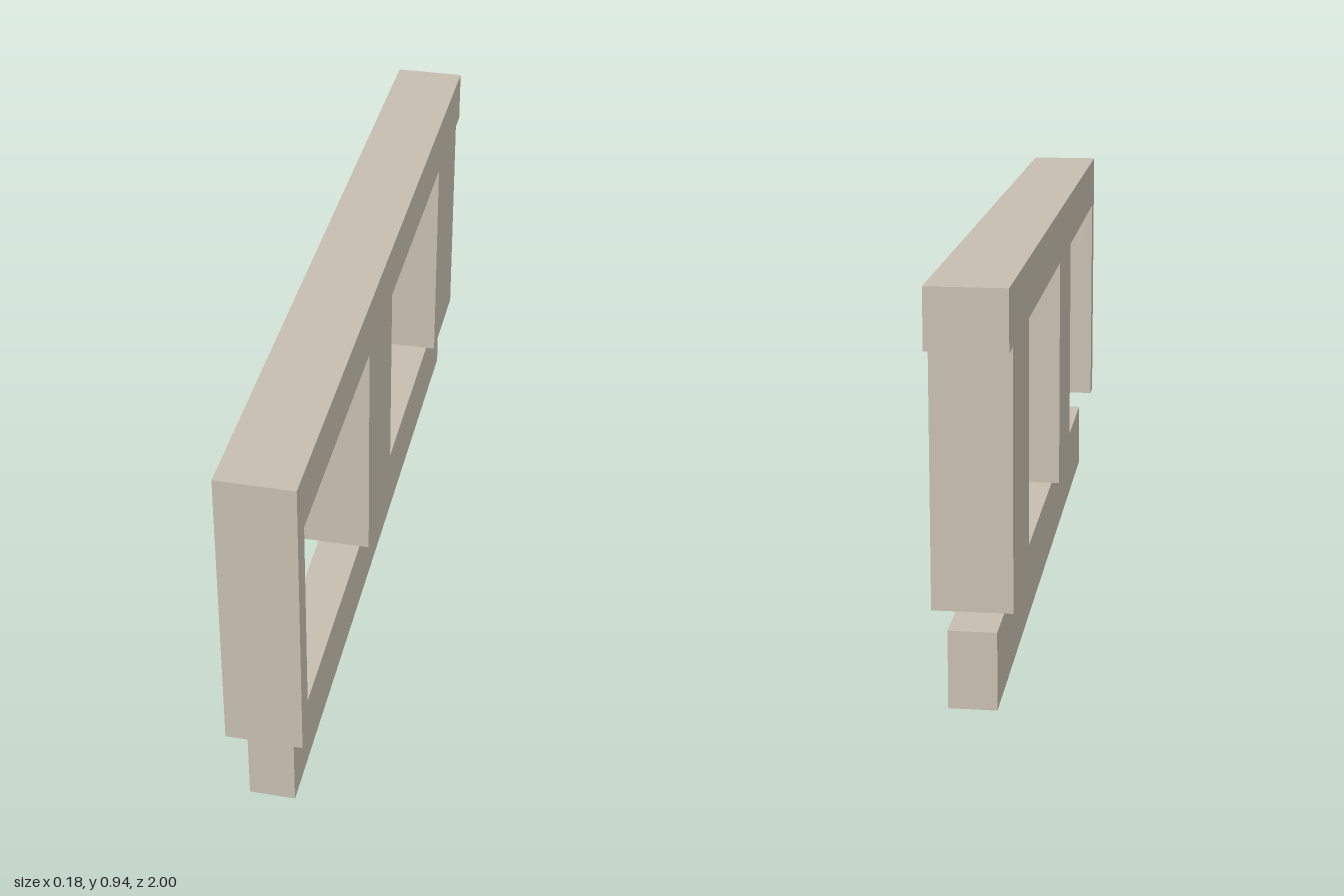
import * as THREE from 'three';

export function createModel() {
  const model = new THREE.Group();
  model.name = 'windowWall';
  const stone = new THREE.MeshStandardMaterial({ color: 0xc5bdae });
  stone.name = 'warm stone';

  const top = 0.945, beamBottom = 0.81, postBottom = 0.225, width = 0.178;
  const posts = [[-0.942, -0.663], [0.003, 0.278], [0.945, 1]]; // z ranges, back to front

  // Upper frame: beam and hanging posts as one side profile (z, y)
  const profile = new THREE.Shape();
  profile.moveTo(-1, top);
  profile.lineTo(-1, beamBottom);
  for (const [back, front] of posts) {
    profile.lineTo(back, beamBottom);
    profile.lineTo(back, postBottom);
    profile.lineTo(front, postBottom);
    if (front < 1) profile.lineTo(front, beamBottom);
  }
  profile.lineTo(1, top);
  profile.closePath();
  const frameGeometry = new THREE.ExtrudeGeometry(profile, { depth: width, bevelEnabled: false });
  frameGeometry.translate(0, 0, -width / 2).rotateY(-Math.PI / 2);
  const frame = new THREE.Mesh(frameGeometry, stone);
  frame.name = 'beamAndPosts';
  model.add(frame);

  // Separate narrow rail on the ground
  const rail = new THREE.Mesh(new THREE.BoxGeometry(0.108, 0.18, 1.887), stone);
  rail.name = 'bottomRail';
  rail.position.set(0, 0.09, 0.0015);
  model.add(rail);

  return model;
}
